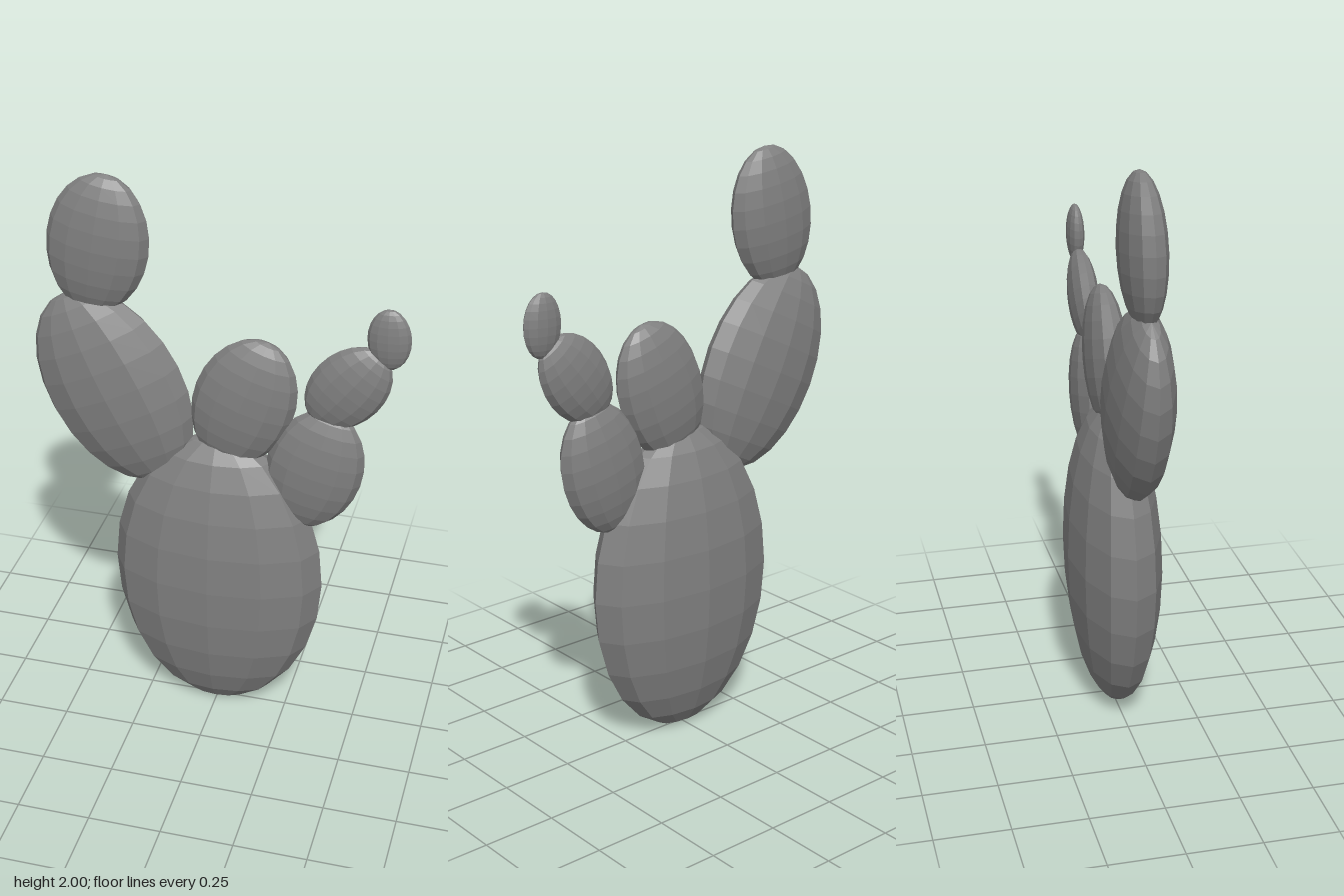
import * as THREE from 'three';

// Each pad: name, centre x, centre y, half width, half height, half depth, lean in degrees (positive leans to -x)
const PADS = [
  ['trunkPad', 0, 0.553, 0.37, 0.55, 0.154, 0],
  ['rightLowerPad', -0.358, 1.24, 0.246, 0.368, 0.104, 26],
  ['rightUpperPad', -0.4, 1.758, 0.172, 0.244, 0.071, -9],
  ['middlePad', 0.087, 1.243, 0.171, 0.248, 0.071, -19],
  ['leftLowerPad', 0.33, 1.025, 0.163, 0.234, 0.068, -15],
  ['leftMiddlePad', 0.432, 1.348, 0.122, 0.174, 0.051, -37],
  ['leftTipPad', 0.557, 1.542, 0.071, 0.106, 0.03, 2],
];

export function createModel() {
  const cactus = new THREE.Group();
  cactus.name = 'cactus';
  const material = new THREE.MeshStandardMaterial({ color: 0x808080, flatShading: true });

  // All pads are flattened low-poly ellipsoids
  for (const [name, x, y, halfWidth, halfHeight, halfDepth, lean] of PADS) {
    const geometry = new THREE.SphereGeometry(1, 12, 12);
    geometry.scale(halfWidth, halfHeight, halfDepth);
    const pad = new THREE.Mesh(geometry, material);
    pad.name = name;
    pad.position.set(x, y, 0);
    pad.rotation.z = THREE.MathUtils.degToRad(lean);
    cactus.add(pad);
  }
  return cactus;
}
